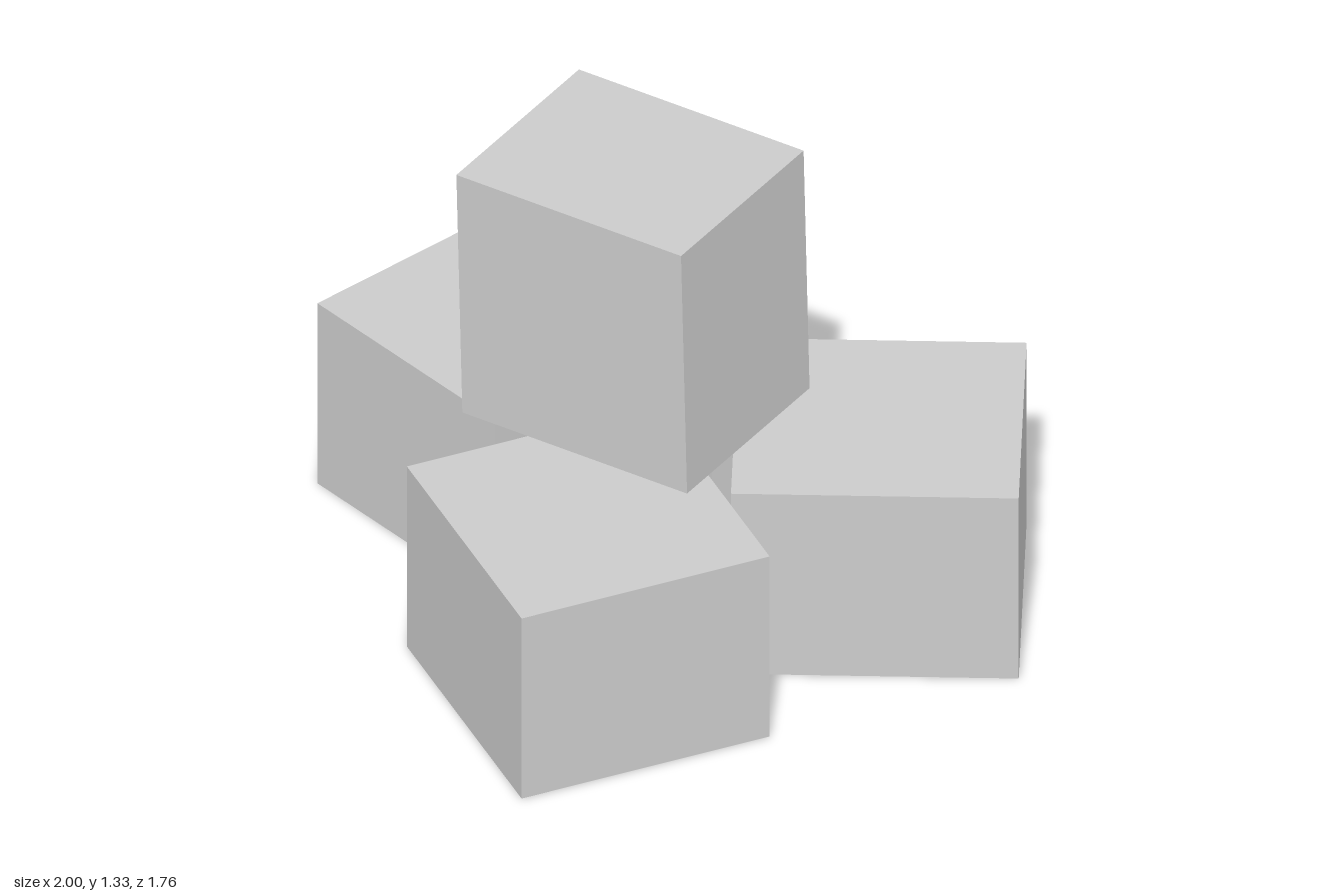
import * as THREE from 'three';

export function createModel() {
  const group = new THREE.Group();
  const material = new THREE.MeshStandardMaterial({ color: 0xcccccc, flatShading: true });
  // All four crates share one size; the lower three lie on their largest side
  const width = 0.70, long = 0.745, short = 0.57;

  function addCrate(name, height, depth, position, rotation) {
    const crate = new THREE.Mesh(new THREE.BoxGeometry(width, height, depth), material);
    crate.name = name;
    crate.position.set(...position);
    crate.rotation.set(...rotation);
    group.add(crate);
  }

  // Ground layer: three crates turned at different angles
  const base = [
    ['backRightCrate', -0.565, -0.278, -0.262],
    ['backLeftCrate', 0.495, -0.388, -1.01],
    ['frontCrate', 0.103, 0.378, 1.0],
  ];
  for (const [name, x, z, turn] of base) {
    addCrate(name, short, long, [x, short / 2, z], [0, turn, 0]);
  }

  // Upright crate resting on top with a slight tilt
  addCrate('topCrate', long, short, [-0.073, 0.953, -0.093], [0, 0, 0.025]);

  return group;
}
